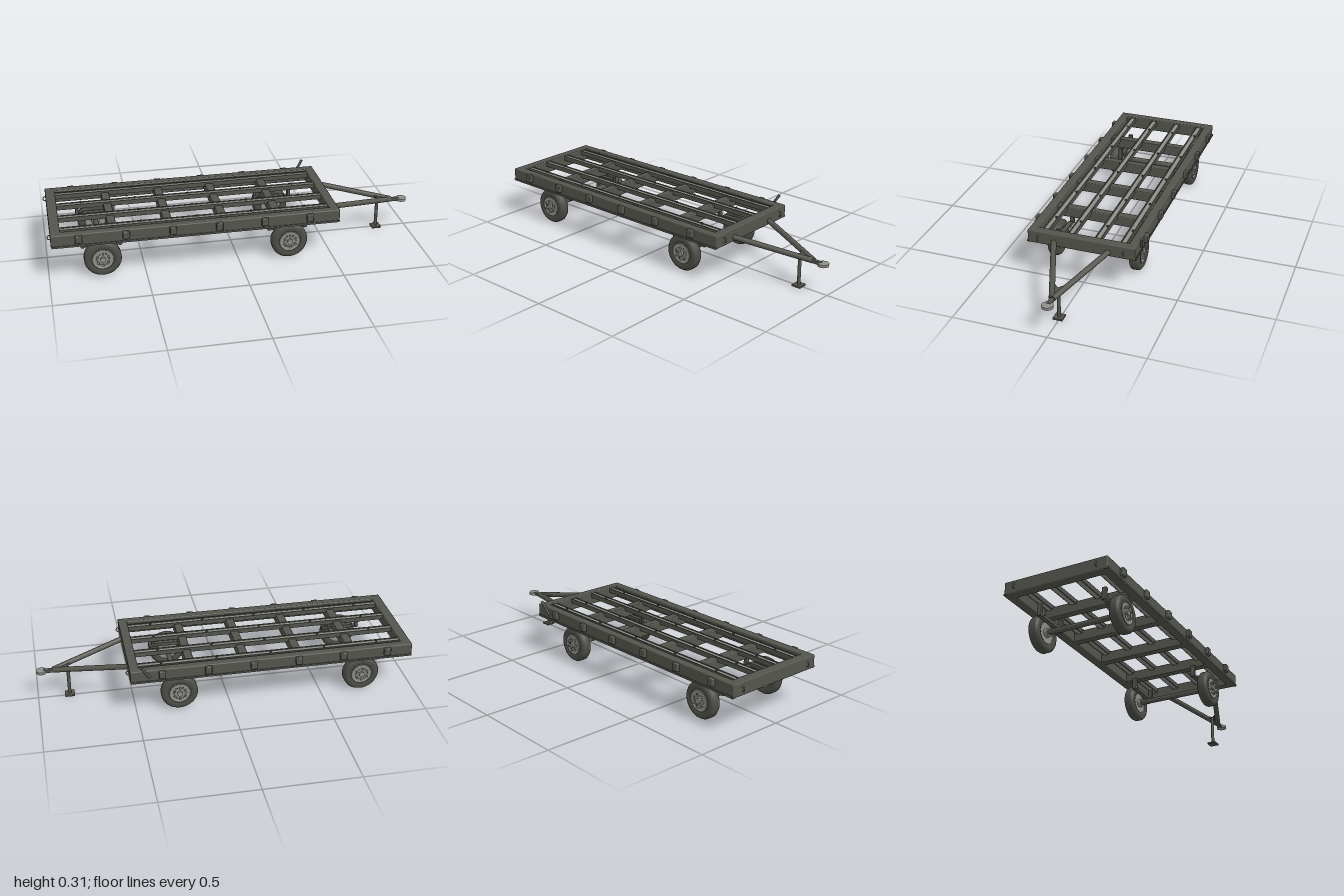
import * as THREE from 'three';
import { RoundedBoxGeometry } from 'three/addons/geometries/RoundedBoxGeometry.js';

const paint = new THREE.MeshStandardMaterial({ color: 0x54554d });
paint.name = 'dark frame paint';
const rubber = new THREE.MeshStandardMaterial({ color: 0x4c4d46 });
rubber.name = 'tyre rubber';
const steel = new THREE.MeshStandardMaterial({ color: 0x8f908a });
steel.name = 'bare steel';

function add(parent, name, geometry, material, x = 0, y = 0, z = 0) {
  const mesh = new THREE.Mesh(geometry, material);
  mesh.name = name;
  mesh.position.set(x, y, z);
  parent.add(mesh);
  return mesh;
}

// Box given by its lower and upper corner
function box(parent, name, a, b, material, radius = 0) {
  const s = b.map((v, i) => v - a[i]);
  const c = b.map((v, i) => (v + a[i]) / 2);
  const g = radius ? new RoundedBoxGeometry(...s, 2, radius) : new THREE.BoxGeometry(...s);
  return add(parent, name, g, material, ...c);
}

// Round bar between two points
function bar(parent, name, a, b, r, material, sides = 16) {
  const p = new THREE.Vector3(...a), q = new THREE.Vector3(...b);
  const mesh = add(parent, name, new THREE.CylinderGeometry(r, r, p.distanceTo(q), sides), material);
  mesh.position.copy(p).add(q).multiplyScalar(0.5);
  mesh.quaternion.setFromUnitVectors(new THREE.Vector3(0, 1, 0), q.sub(p).normalize());
  return mesh;
}

// Wheel with its outer face towards +z
function makeWheel() {
  const wheel = new THREE.Group();
  wheel.name = 'wheel';
  const profile = [[0.056, -0.024], [0.066, -0.029], [0.082, -0.029], [0.091, -0.024], [0.0975, -0.014],
    [0.0975, 0.014], [0.091, 0.024], [0.082, 0.029], [0.066, 0.029], [0.056, 0.024], [0.056, -0.024]]
    .map(([r, y]) => new THREE.Vector2(r, y));
  add(wheel, 'tyre', new THREE.LatheGeometry(profile, 40), rubber).rotation.x = Math.PI / 2;
  const disc = [[0, -0.02], [0.05, -0.02], [0.058, -0.026], [0.058, 0.027], [0.052, 0.027],
    [0.047, 0.021], [0.04, 0.026], [0, 0.026]].map(([r, y]) => new THREE.Vector2(r, y));
  add(wheel, 'rim', new THREE.LatheGeometry(disc, 32), steel).rotation.x = Math.PI / 2;
  bar(wheel, 'hubCap', [0, 0, 0.02], [0, 0, 0.037], 0.015, steel, 20);
  bar(wheel, 'innerHub', [0, 0, -0.039], [0, 0, -0.018], 0.023, steel, 20);
  for (let i = 0; i < 6; i++) {
    const a = i * Math.PI / 3 + Math.PI / 6;
    bar(wheel, 'wheelNut', [0.032 * Math.cos(a), 0.032 * Math.sin(a), 0.02],
      [0.032 * Math.cos(a), 0.032 * Math.sin(a), 0.037], 0.0065, steel, 6);
    const b = a + Math.PI / 6;
    bar(wheel, 'rimSlot', [0.033 * Math.cos(b), 0.033 * Math.sin(b), 0.022],
      [0.033 * Math.cos(b), 0.033 * Math.sin(b), 0.027], 0.006, paint, 10);
  }
  return wheel;
}

export function createModel() {
  const trailer = new THREE.Group();
  trailer.name = 'trailer';
  const body = new THREE.Group();
  body.name = 'body';
  body.position.z = 0.004;
  trailer.add(body);

  // Outer deck frame
  box(body, 'rearBeam', [-0.98, 0.205, -0.287], [-0.928, 0.275, 0.287], paint, 0.006);
  box(body, 'frontBeam', [0.482, 0.205, -0.287], [0.53, 0.275, 0.287], paint, 0.006);
  for (const s of [-1, 1]) {
    const near = s * 0.243, far = s * 0.287;
    box(body, 'sideBeam', [-0.978, 0.205, Math.min(near, far)], [0.528, 0.275, Math.max(near, far)], paint, 0.006);
    box(body, 'sideLip', [-0.978, 0.205, s * 0.28 - 0.011], [0.528, 0.215, s * 0.28 + 0.011], paint);
    // Stake pockets along the sides
    for (let i = 0; i < 6; i++) {
      const x = -0.84 + i * 0.241;
      box(body, 'stakePocket', [x - 0.018, 0.228, s * 0.293 - 0.013], [x + 0.018, 0.27, s * 0.293 + 0.013], paint, 0.005);
    }
    // Tie-down eyes on both ends
    for (const x of [-0.982, 0.533]) {
      add(body, 'tieEye', new THREE.TorusGeometry(0.012, 0.003, 8, 20), steel, x, 0.24, s * 0.229);
    }
  }

  // Cross beams and the rails lying over them
  for (const x of [-0.66, -0.37, -0.083, 0.207]) {
    box(body, 'crossBeam', [x - 0.022, 0.205, -0.25], [x + 0.022, 0.262, 0.25], paint, 0.005);
  }
  for (const z of [-0.212, -0.076, 0.068, 0.204]) {
    box(body, 'deckRail', [-0.94, 0.244, z - 0.012], [0.49, 0.268, z + 0.012], steel, 0.004);
    for (const e of [-1, 1]) {
      box(body, 'railEdge', [-0.94, 0.246, z + e * 0.014 - 0.003], [0.49, 0.271, z + e * 0.014 + 0.003], paint);
    }
    for (let i = 0; i < 5; i++) {
      const x = -0.8 + i * 0.29;
      bar(body, 'railBolt', [x, 0.265, z - 0.008], [x, 0.277, z - 0.008], 0.005, paint, 8);
    }
  }

  // Axles, wheels and suspension
  for (const x of [-0.72, 0.27]) {
    bar(body, 'axle', [x, 0.098, -0.2], [x, 0.098, 0.2], 0.0145, paint, 20);
    for (const s of [-1, 1]) {
      const wheel = makeWheel();
      wheel.position.set(x, 0.0975, s * 0.226);
      if (s < 0) wheel.rotation.y = Math.PI;
      body.add(wheel);
      for (const d of [-0.098, 0.098]) {
        box(body, 'springHanger', [x + d - 0.009, 0.14, s * 0.182 - 0.013], [x + d + 0.009, 0.21, s * 0.182 + 0.013], paint, 0.004);
      }
      box(body, 'leafSpring', [x - 0.108, 0.143, s * 0.182 - 0.011], [x + 0.108, 0.153, s * 0.182 + 0.011], paint);
      box(body, 'shortLeaf', [x - 0.07, 0.153, s * 0.182 - 0.011], [x + 0.07, 0.161, s * 0.182 + 0.011], paint);
    }
  }

  // Drawbar with coupling
  for (const s of [-1, 1]) {
    bar(body, 'drawbarTube', [0.51, 0.23, s * 0.152], [0.91, 0.165, s * 0.003], 0.0145, paint);
  }
  const gusset = new THREE.Shape([[0.8, -0.04], [0.92, -0.008], [0.92, 0.008], [0.8, 0.04], [0.835, 0]]
    .map(([x, y]) => new THREE.Vector2(x, y)));
  const plate = new THREE.ExtrudeGeometry(gusset, { depth: 0.008, bevelEnabled: false });
  plate.rotateX(-Math.PI / 2);
  plate.translate(-0.91, 0, 0);
  plate.rotateZ(-0.16);
  add(body, 'drawbarGusset', plate, paint, 0.91, 0.162, 0);
  box(body, 'couplingNeck', [0.89, 0.153, -0.012], [0.96, 0.171, 0.012], paint, 0.004);
  bar(body, 'coupling', [0.971, 0.154, 0], [0.971, 0.168, 0], 0.029, steel, 28);

  // Parking leg
  bar(body, 'supportLeg', [0.832, 0.008, 0], [0.832, 0.172, 0], 0.009, paint);
  box(body, 'supportFoot', [0.806, 0, -0.026], [0.858, 0.011, 0.026], paint, 0.003);

  // Brake handle on the right side
  bar(body, 'brakeHandle', [0.43, 0.235, -0.288], [0.475, 0.308, -0.305], 0.007, paint, 12);
  return trailer;
}
